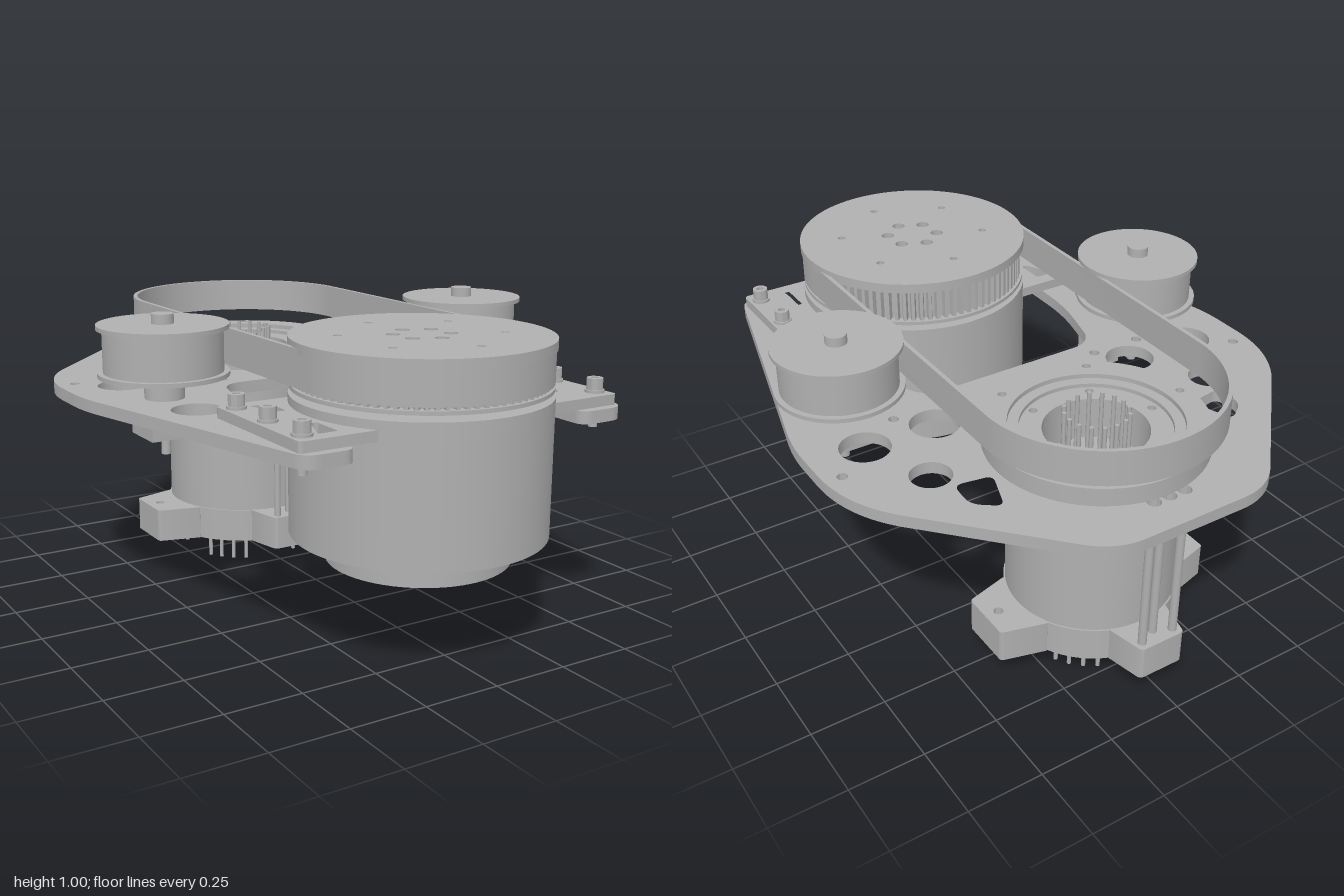
import * as THREE from 'three';
import { toCreasedNormals } from 'three/addons/utils/BufferGeometryUtils.js';

const metal = new THREE.MeshStandardMaterial({ color: 0xb0b0b0 });
metal.name = 'plain grey metal';

const MOTOR_Z = 0.6, HUB_Z = -0.525;

export function createModel() {
  const model = new THREE.Group();
  model.name = 'beltDrive';

  const add = (name, geo, x = 0, y = 0, z = 0) => {
    const mesh = new THREE.Mesh(geo, metal);
    mesh.name = name;
    mesh.position.set(x, y, z);
    model.add(mesh);
    return mesh;
  };
  const rod = (name, r, y0, y1, x, z, n = 32) =>
    add(name, new THREE.CylinderGeometry(r, r, y1 - y0, n), x, (y0 + y1) / 2, z);
  const block = (name, x0, x1, y0, y1, z0, z1) =>
    add(name, new THREE.BoxGeometry(x1 - x0, y1 - y0, z1 - z0), (x0 + x1) / 2, (y0 + y1) / 2, (z0 + z1) / 2);

  // Outlines are drawn as (x, z) and extruded upwards
  const slab = (name, shape, y0, y1, x = 0, z = 0) => {
    const geo = new THREE.ExtrudeGeometry(shape, { depth: y1 - y0, bevelEnabled: false, curveSegments: 40 });
    geo.rotateX(-Math.PI / 2);
    return add(name, toCreasedNormals(geo, 0.5), x, y0, z);
  };
  const circle = (x, z, r, Type = THREE.Path) => new Type().absarc(x, -z, r, 0, Math.PI * 2);
  const ringOf = (count, radius, start = 0) => Array.from({ length: count }, (_, i) => {
    const a = start + (i / count) * Math.PI * 2;
    return [Math.cos(a) * radius, Math.sin(a) * radius];
  });
  const disc = (r, holes) => {
    const s = circle(0, 0, r, THREE.Shape);
    s.holes.push(...holes);
    return s;
  };
  // Closed outline from [x, z, cornerCut] points
  const rounded = (pts, Type = THREE.Path) => {
    const path = new Type();
    const v = pts.map(([x, z]) => new THREE.Vector2(x, -z));
    v.forEach((p, i) => {
      const d = pts[i][2];
      const a = v[(i + v.length - 1) % v.length], b = v[(i + 1) % v.length];
      const s = p.clone().add(a.clone().sub(p).setLength(d));
      const e = p.clone().add(b.clone().sub(p).setLength(d));
      if (i) path.lineTo(s.x, s.y); else path.moveTo(s.x, s.y);
      path.quadraticCurveTo(p.x, p.y, e.x, e.y);
    });
    path.closePath();
    return path;
  };
  const mirrorPts = pts => pts.map(([x, z, d]) => [-x, z, d]).reverse();

  // Mounting plate with two forward arms and lightening holes
  const half = [[0.27, -1, 0.1], [0.8, -0.43, 0.18], [0.8, -0.08, 0.08], [0.56, 0.87, 0.05],
    [0.4, 0.87, 0.04], [0.4, 0.22, 0.1], [0.33, -0.045, 0.08]];
  const plate = rounded([...half, ...mirrorPts(half)], THREE.Shape);
  for (const s of [1, -1]) {
    for (const [x, z, r] of [[0.52, -0.43, 0.065], [0.375, -0.2, 0.08], [0.615, -0.2, 0.08],
      [0.56, 0.24, 0.08], [0.74, -0.3, 0.017], [0.47, -0.11, 0.017], [0.295, -0.11, 0.017]])
      plate.holes.push(circle(s * x, z, r));
    plate.holes.push(rounded([[0.37, -0.53, 0.03], [0.42, -0.67, 0.03], [0.5, -0.61, 0.04], [0.49, -0.51, 0.03]]
      .map(([x, z, d]) => [s * x, z, d])));
  }
  plate.holes.push(circle(0, HUB_Z, 0.26));
  for (const z of [-0.88, -0.165])
    for (const x of [-0.055, 0, 0.055]) plate.holes.push(circle(x, z, 0.022));
  slab('mountingPlate', plate, 0.69, 0.73);

  // Motor bracket with triangular pockets
  const b = [[0.56, 0.36, 0.015], [0.56, 0.84, 0.015]];
  const bracket = rounded([...b, ...mirrorPts(b)], THREE.Shape);
  for (const s of [1, -1]) {
    for (const tri of [[[0.41, 0.41], [0.475, 0.41], [0.43, 0.51], [0.41, 0.51]],
      [[0.41, 0.68], [0.43, 0.68], [0.475, 0.79], [0.41, 0.79]]])
      bracket.holes.push(rounded(tri.map(([x, z]) => [s * x, z, 0.008])));
  }
  slab('motorBracket', bracket, 0.73, 0.763);

  // Bracket bolts
  for (const s of [1, -1]) for (const z of [0.415, 0.6, 0.785]) {
    rod('boltWasher', 0.03, 0.763, 0.772, s * 0.52, z, 24);
    slab('boltHead', disc(0.025, [circle(0, 0, 0.012)]), 0.772, 0.808, s * 0.52, z);
    rod('boltShank', 0.014, 0.655, 0.785, s * 0.52, z, 16);
  }

  // Large motor
  rod('motorBody', 0.395, 0.362, 0.79, 0, MOTOR_Z, 96);
  rod('motorBoss', 0.285, 0.277, 0.362, 0, MOTOR_Z, 72);
  rod('motorShaft', 0.1, 0.79, 0.83, 0, MOTOR_Z, 32);
  for (const [x, z] of ringOf(6, 0.34, 0.3)) rod('motorScrew', 0.012, 0.358, 0.365, x, MOTOR_Z + z, 12);

  // Toothed drive pulley and drilled flange
  const teeth = 84, gear = new THREE.Shape();
  for (let i = 0; i < teeth; i++) {
    [[0, 0.382], [0.4, 0.382], [0.55, 0.362], [0.85, 0.362]].forEach(([f, r], k) => {
      const a = ((i + f) / teeth) * Math.PI * 2;
      gear[i || k ? 'lineTo' : 'moveTo'](Math.cos(a) * r, Math.sin(a) * r);
    });
  }
  gear.closePath();
  slab('pulleyTeeth', gear, 0.815, 0.93, 0, MOTOR_Z);
  const lid = [...ringOf(6, 0.087, 0.42).map(([x, z]) => circle(x, z, 0.022)),
    ...ringOf(6, 0.25, 0.43).map(([x, z]) => circle(x, z, 0.013))];
  slab('pulleyFlange', disc(0.396, lid), 0.93, 0.962, 0, MOTOR_Z);
  slab('pulleyLowerFlange', disc(0.392, [circle(0, 0, 0.3)]), 0.808, 0.82, 0, MOTOR_Z);

  // Belt loop
  const loop = (r, Type) => {
    const p = new Type();
    p.absarc(0, -HUB_Z, r, 0, Math.PI);
    p.absarc(0, -MOTOR_Z, r, Math.PI, Math.PI * 2);
    p.closePath();
    return p;
  };
  const belt = loop(0.392, THREE.Shape);
  belt.holes.push(loop(0.378, THREE.Path));
  slab('belt', belt, 0.83, 0.945);

  // Idler wheels with posts and clamp blocks
  for (const s of [1, -1]) {
    const x = s * 0.575, z = 0.04;
    rod('idlerCore', 0.187, 0.81, 0.955, x, z, 64);
    for (const y of [0.802, 0.95]) rod('idlerFlange', 0.205, y, y + 0.014, x, z, 64);
    rod('idlerAxle', 0.035, 0.96, 0.995, x, z);
    rod('idlerPost', 0.063, 0.69, 0.805, x, z);
    rod('idlerPin', 0.015, 0.55, 0.62, x, z, 16);
    block('idlerClamp', x - 0.08, x + 0.08, 0.612, 0.69, -0.035, 0.118);
    block('idlerGuide', s * 0.425 - 0.031, s * 0.425 + 0.031, 0.612, 0.69, -0.035, 0.118);
  }

  // Hollow rear motor
  const profile = [[0.08, 0.19], [0.275, 0.19], [0.275, 0.73], [0.165, 0.73], [0.165, 0.62], [0.08, 0.62], [0.08, 0.19]];
  add('rearMotorBody', toCreasedNormals(new THREE.LatheGeometry(
    profile.map(([r, y]) => new THREE.Vector2(r, y)), 72), 0.5), 0, 0, HUB_Z);
  const holes = (r, size, a) => ringOf(6, r, a).map(([x, z]) => circle(x, z, size));
  slab('outerRing', disc(0.35, [circle(0, 0, 0.27), ...holes(0.32, 0.014, 0)]), 0.73, 0.79, 0, HUB_Z);
  slab('middleRing', disc(0.27, [circle(0, 0, 0.235)]), 0.73, 0.775, 0, HUB_Z);
  slab('innerRing', disc(0.235, [circle(0, 0, 0.165), ...holes(0.212, 0.014, 0)]), 0.73, 0.762, 0, HUB_Z);
  for (const [x, z] of ringOf(16, 0.1)) rod('contactPin', 0.007, 0.61, 0.828, x, HUB_Z + z, 8);

  // Spoked base with lugs
  const windows = Array.from({ length: 6 }, (_, i) => {
    const a = (i / 6) * Math.PI * 2 + 0.12, e = a + Math.PI / 3 - 0.24;
    const p = new THREE.Path();
    p.absarc(0, 0, 0.235, a, e, false);
    p.absarc(0, 0, 0.13, e, a, true);
    p.closePath();
    return p;
  });
  slab('spokedBase', disc(0.28, [circle(0, 0, 0.08), ...windows]), 0.085, 0.2, 0, HUB_Z);
  for (const s of [1, -1]) {
    const side = rounded([[0.25, -0.13, 0.005], [0.398, -0.09, 0.01], [0.398, 0.09, 0.01], [0.25, 0.13, 0.005]]
      .map(([x, z, d]) => [s * x, z, d]), THREE.Shape);
    side.holes.push(circle(s * 0.35, 0, 0.016));
    slab('sideLug', side, 0.085, 0.2, 0, HUB_Z);
    const end = rounded([[-0.11, 0.25, 0.005], [-0.08, 0.385, 0.015], [0.08, 0.385, 0.015], [0.11, 0.25, 0.005]]
      .map(([x, z, d]) => [x, s * z, d]), THREE.Shape);
    slab('endLug', end, 0.085, 0.2, 0, HUB_Z);
  }

  // Cable rods on the end lugs
  for (const x of [-0.058, 0, 0.058]) {
    const inset = x ? 0 : 0.025;
    rod('frontRod', 0.011, 0.19, 0.425, x, -0.165 - inset, 12);
    rod('backRod', 0.014, 0.19, 0.69, x, -0.88 + inset, 12);
    rod('backRodCap', 0.024, 0.665, 0.69, x, -0.88 + inset, 16);
  }

  // Terminal pins under the base
  for (let q = 0; q < 4; q++) for (const deg of [27, 39, 51, 63]) {
    const a = THREE.MathUtils.degToRad(q * 90 + deg);
    rod('terminalPin', 0.007, 0, 0.195, Math.cos(a) * 0.22, HUB_Z + Math.sin(a) * 0.22, 8);
  }
  return model;
}
